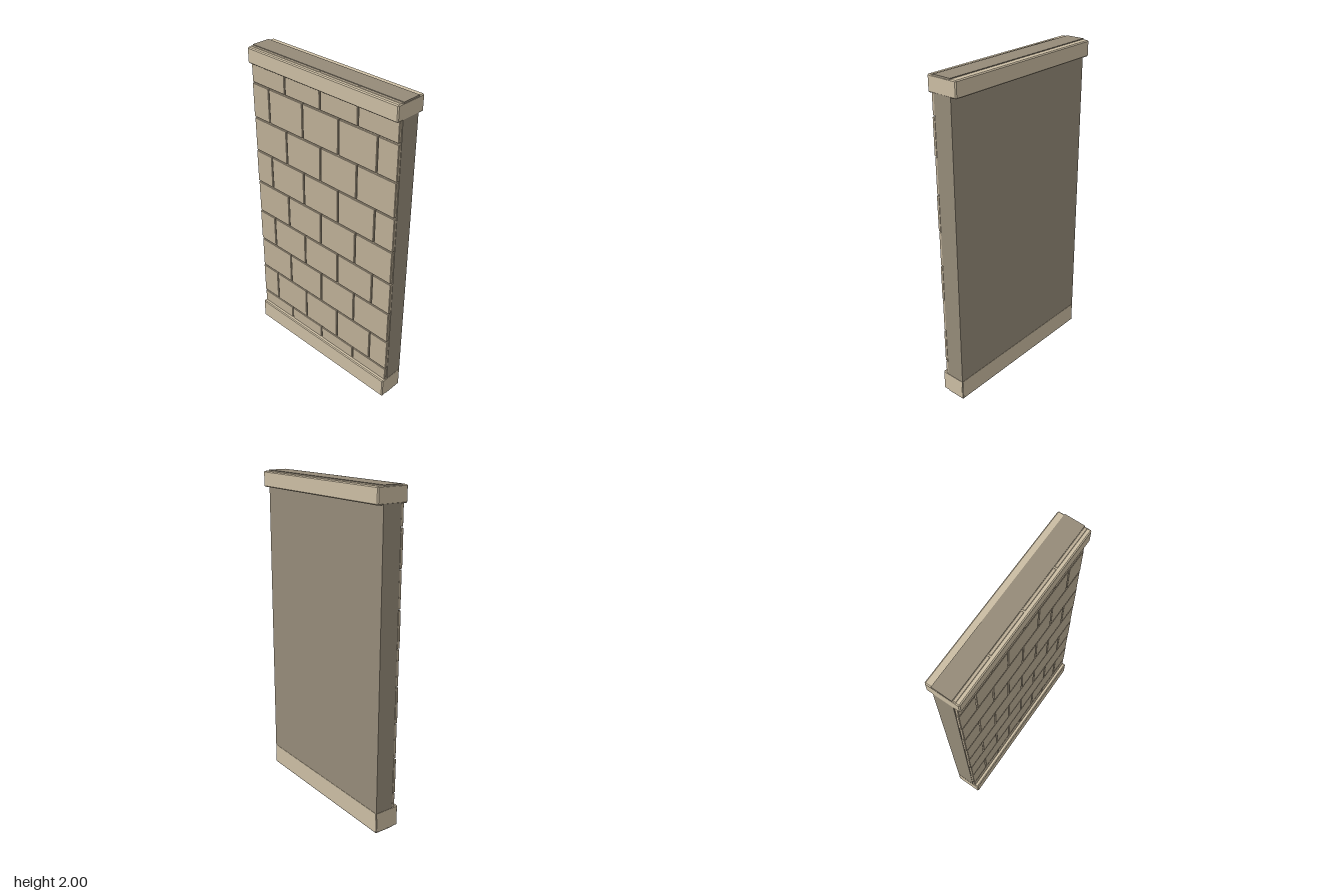
import * as THREE from 'three';
import { ConvexGeometry } from 'three/addons/geometries/ConvexGeometry.js';

const WIDTH = 1.11, HEIGHT = 2, ROWS = 9, COLUMNS = 4;
const GAP = 0.006;
const CORE_BACK = -0.061, CORE_FRONT = 0.058, BLOCK_FRONT = 0.078;

// Box between two corners with every edge chamfered by c
function chamferedBox(x0, x1, y0, y1, z0, z1, c) {
  const h = [(x1 - x0) / 2, (y1 - y0) / 2, (z1 - z0) / 2];
  const points = [];
  for (const sx of [-1, 1]) for (const sy of [-1, 1]) for (const sz of [-1, 1]) {
    for (let axis = 0; axis < 3; axis++) {
      // one point per face meeting at this corner
      const p = h.map((v, i) => (i === axis ? v : v - c));
      points.push(new THREE.Vector3(sx * p[0], sy * p[1], sz * p[2]));
    }
  }
  const geometry = new ConvexGeometry(points);
  geometry.translate((x0 + x1) / 2, (y0 + y1) / 2, (z0 + z1) / 2);
  return geometry;
}

export function createModel() {
  const group = new THREE.Group();
  group.name = 'stoneWall';
  const mortar = new THREE.MeshStandardMaterial({ color: 0x958b79 });
  const stone = new THREE.MeshStandardMaterial({ color: 0xbcae96 });
  const trim = new THREE.MeshStandardMaterial({ color: 0xcbbda3 });

  const add = (parent, name, geometry, material) => {
    const mesh = new THREE.Mesh(geometry, material);
    mesh.name = name;
    parent.add(mesh);
  };

  // Plain slab behind the blocks
  const core = new THREE.BoxGeometry(WIDTH, HEIGHT, CORE_FRONT - CORE_BACK);
  core.translate(0, HEIGHT / 2, (CORE_FRONT + CORE_BACK) / 2);
  add(group, 'core', core, mortar);

  // Running-bond facing blocks; odd rows shift by half a block and are cut at the ends
  const blocks = new THREE.Group();
  blocks.name = 'facingBlocks';
  group.add(blocks);
  const bw = WIDTH / COLUMNS, bh = HEIGHT / ROWS, half = WIDTH / 2;
  for (let row = 0; row < ROWS; row++) {
    const shift = row % 2 ? bw / 2 : 0;
    for (let col = 0; col < COLUMNS + row % 2; col++) {
      const left = -half + col * bw - shift;
      const x0 = Math.max(left + GAP / 2, -half);
      const x1 = Math.min(left + bw - GAP / 2, half);
      const y0 = row * bh + GAP / 2, y1 = (row + 1) * bh - GAP / 2;
      add(blocks, 'block', chamferedBox(x0, x1, y0, y1, CORE_FRONT, BLOCK_FRONT, 0.003), stone);
    }
  }

  // Base course, flush with the back, and cap course overhanging both sides
  add(group, 'base', chamferedBox(-half - 0.001, half + 0.001, 0, 0.133, -0.062, 0.1, 0.006), trim);
  add(group, 'cap', chamferedBox(-half - 0.001, half + 0.001, 1.9, 1.995, -0.1, 0.1, 0.006), trim);
  return group;
}
